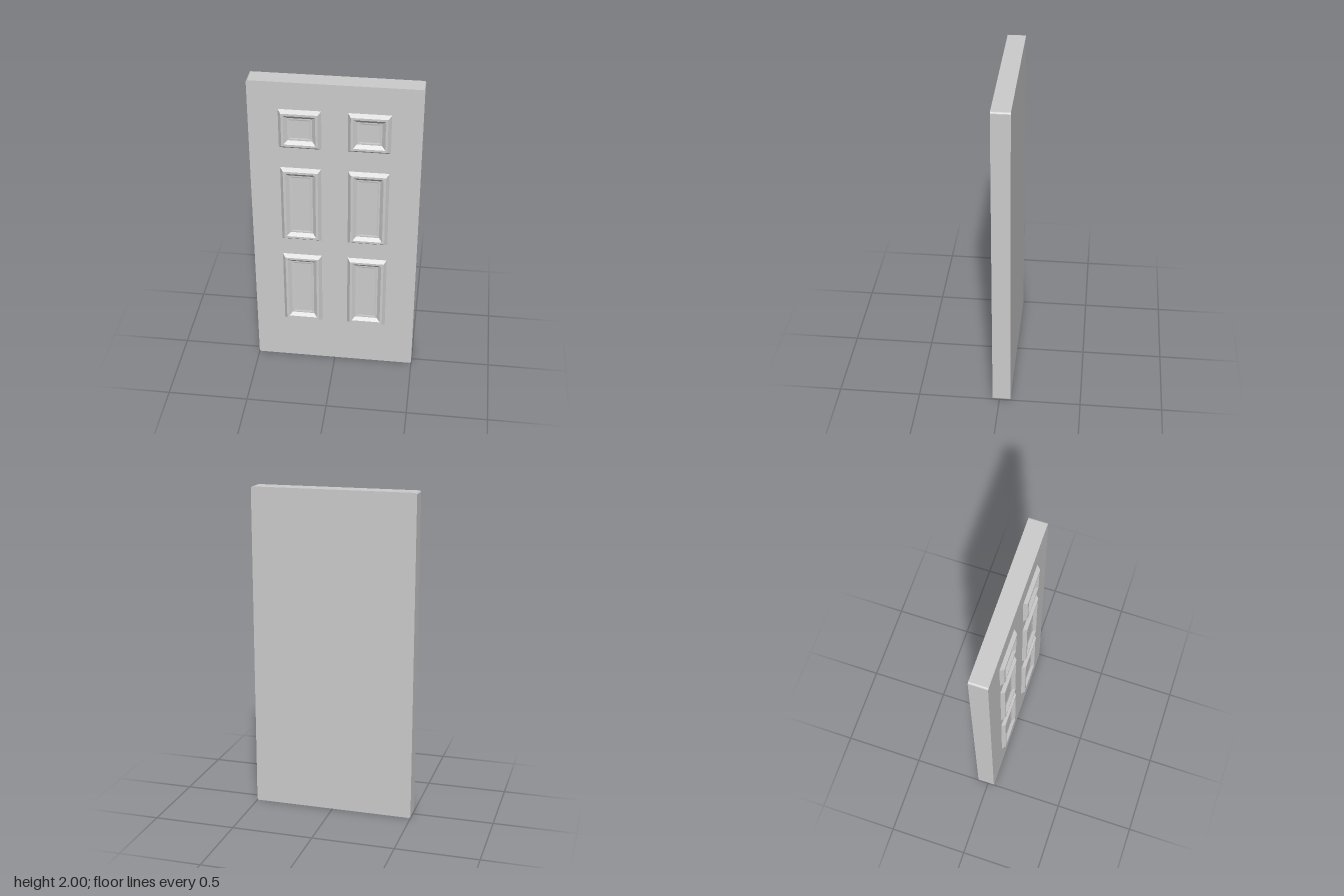
import * as THREE from 'three';

const material = new THREE.MeshStandardMaterial({ color: 0xcccccc, flatShading: true });
const FACE = 0.042, BACK = -0.068;

// Door slab: outline with slightly rounded corners, extruded through its thickness
function slabGeometry() {
  const r = 0.012, s = new THREE.Shape();
  s.moveTo(-0.5 + r, 0);
  s.lineTo(0.5 - r, 0);
  s.absarc(0.5 - r, r, r, -Math.PI / 2, 0);
  s.lineTo(0.5, 2 - r);
  s.absarc(0.5 - r, 2 - r, r, 0, Math.PI / 2);
  s.lineTo(-0.5 + r, 2);
  s.absarc(-0.5 + r, 2 - r, r, Math.PI / 2, Math.PI);
  s.lineTo(-0.5, r);
  s.absarc(-0.5 + r, r, r, Math.PI, Math.PI * 1.5);
  const g = new THREE.ExtrudeGeometry(s, { depth: FACE - BACK, bevelEnabled: false, curveSegments: 4 });
  return g.translate(0, 0, BACK);
}

// Moulding profile: [inset from the outer edge, height above the slab]
const profile = [
  [0, 0], [0.018, 0.022], [0.032, 0.022], [0.052, 0.004],
  [0.06, 0.004], [0.068, 0.002],
];

// Nested mitred rectangles joined into a picture-frame moulding with a flat centre
function panelGeometry(w, h) {
  const pos = [];
  const ring = ([inset, z]) => [[-1, -1], [1, -1], [1, 1], [-1, 1]]
    .map(([sx, sy]) => [sx * (w / 2 - inset), sy * (h / 2 - inset), z]);
  const quad = (a, b, c, d) => pos.push(...a, ...b, ...c, ...a, ...c, ...d);
  const rings = profile.map(ring);
  for (let i = 0; i < rings.length - 1; i++) {
    for (let k = 0; k < 4; k++) {
      const n = (k + 1) % 4;
      quad(rings[i][k], rings[i][n], rings[i + 1][n], rings[i + 1][k]);
    }
  }
  quad(...rings[rings.length - 1]);
  const g = new THREE.BufferGeometry();
  g.setAttribute('position', new THREE.Float32BufferAttribute(pos, 3));
  g.computeVertexNormals();
  return g;
}

export function createModel() {
  const door = new THREE.Group();
  door.name = 'door';

  const slab = new THREE.Mesh(slabGeometry(), material);
  slab.name = 'slab';
  door.add(slab);

  // Three rows of raised panels: name, bottom, top, width
  const rows = [
    ['lower', 0.31, 0.82, 0.242],
    ['middle', 0.935, 1.445, 0.242],
    ['upper', 1.58, 1.83, 0.248],
  ];
  for (const [name, y0, y1, w] of rows) {
    const geometry = panelGeometry(w, y1 - y0);
    for (const [side, x] of [['Left', 0.199], ['Right', -0.201]]) {
      const panel = new THREE.Mesh(geometry, material);
      panel.name = name + side + 'Panel';
      panel.position.set(x, (y0 + y1) / 2, FACE);
      door.add(panel);
    }
  }
  return door;
}
